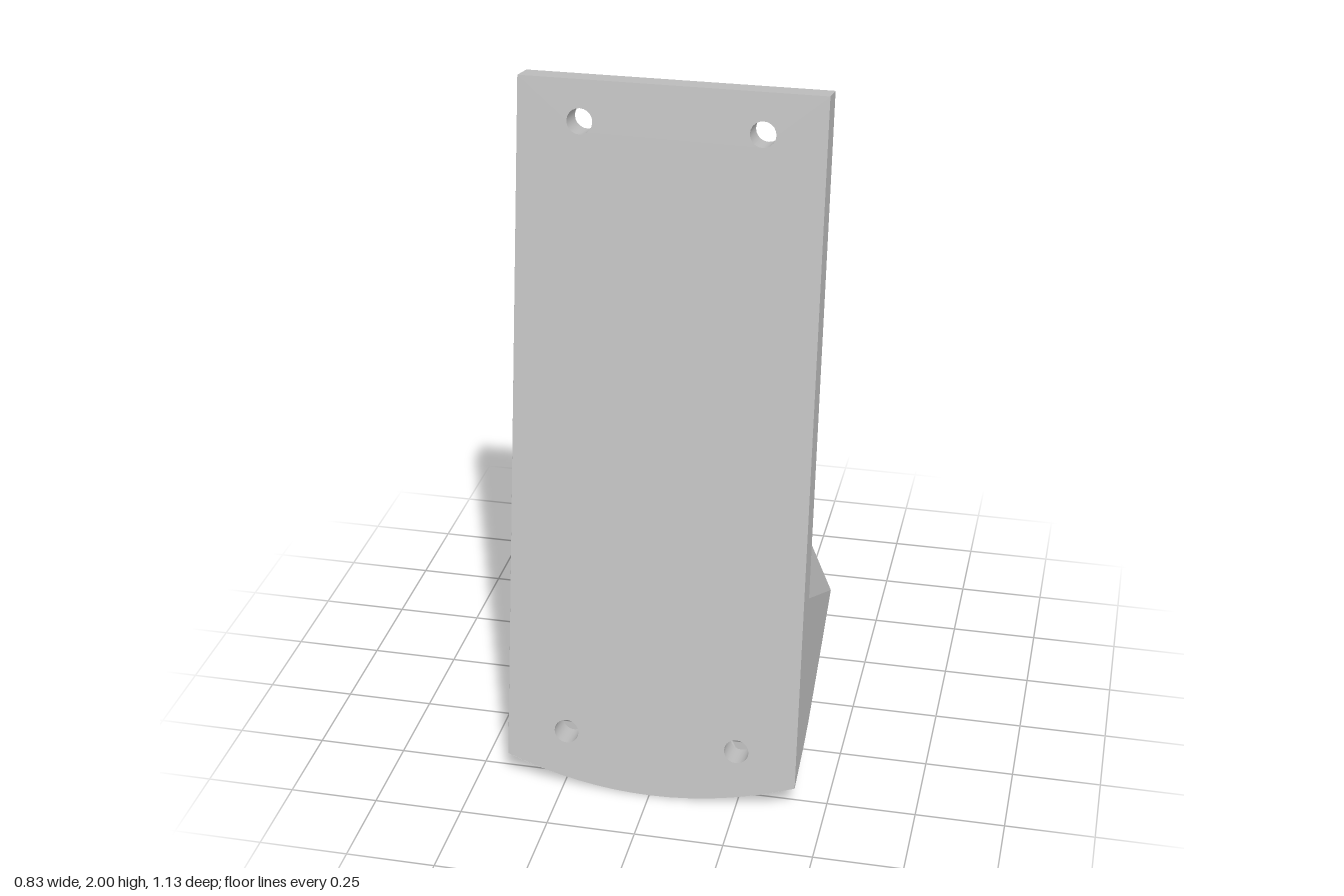
import * as THREE from 'three';

const HW = 0.415, TH = 0.09, TILT = Math.atan(0.1675);
const C = Math.cos(TILT), S = Math.sin(TILT), Z0 = 0.565, LEN = 2 / C;
const HOLE_X = 0.245, HOLE_R = 0.035, BORE_R = 0.073, LOW = 0.165 / C, HIGH = 1.89 / C;
const N = 8;

export function createModel() {
  const model = new THREE.Group();
  const grey = new THREE.MeshStandardMaterial({ color: 0xc0c0c0 });
  grey.side = THREE.DoubleSide;
  const lerp = THREE.MathUtils.lerp;

  const add = (name, geo, parent = model) => {
    const mesh = new THREE.Mesh(geo, grey);
    mesh.name = name;
    parent.add(mesh);
    return mesh;
  };

  // Flat-shaded skin through rows of points of equal length
  const loft = (rows) => {
    const p = [];
    for (let j = 0; j < rows.length - 1; j++) {
      for (let i = 0; i < rows[j].length - 1; i++) {
        const a = rows[j][i], b = rows[j][i + 1], c = rows[j + 1][i + 1], d = rows[j + 1][i];
        p.push(...a, ...b, ...c, ...a, ...c, ...d);
      }
    }
    const geo = new THREE.BufferGeometry();
    geo.setAttribute('position', new THREE.Float32BufferAttribute(p, 3));
    geo.computeVertexNormals();
    return geo;
  };

  // Height of the curved underside, and its front and back limits
  const curve = [[0.565, 0], [0.36, 0.06], [0.12, 0.195], [-0.05, 0.295]];
  const under = (x, z) => {
    let k = 0;
    while (k < 2 && z < curve[k + 1][0]) k++;
    const [a, b] = [curve[k], curve[k + 1]];
    return lerp(a[1], b[1], (a[0] - z) / (a[0] - b[0])) + 0.072 * (x / HW) ** 2;
  };
  const zFront = (x) => Z0 - 0.012 * (x / HW) ** 2;
  const zBack = (x) => -0.042 - 0.008 * (x / HW) ** 2;

  // Tilted mounting plate, in its own frame
  const plate = new THREE.Group();
  plate.name = 'mountingPlate';
  plate.position.z = Z0;
  plate.rotation.x = -TILT;
  model.add(plate);

  const face = (bottom, holes) => {
    const shape = new THREE.Shape([
      ...bottom, new THREE.Vector2(HW, LEN), new THREE.Vector2(-HW, LEN)]);
    for (const s of holes) for (const sx of [-1, 1]) {
      shape.holes.push(new THREE.Path().absarc(sx * HOLE_X, s, HOLE_R, 0, Math.PI * 2, true));
    }
    return new THREE.ShapeGeometry(shape, 10);
  };
  const arc = [];
  for (let i = -N; i <= N; i++) {
    const x = HW * i / N;
    arc.push(new THREE.Vector2(x, under(x, zFront(x)) / C));
  }
  const sideS = 0.59 / C + 0.015;
  add('plateFront', face(arc, [LOW, HIGH]), plate);
  const back = face([new THREE.Vector2(-HW, sideS), new THREE.Vector2(HW, sideS)], [HIGH]);
  add('plateBack', back.rotateY(Math.PI), plate).position.z = -TH;
  add('plateTop', loft([
    [[-HW, LEN, 0], [HW, LEN, 0]], [[-HW, LEN, -TH], [HW, LEN, -TH]]]), plate);
  for (const sx of [-1, 1]) for (const s of [LOW, HIGH]) {
    const tube = new THREE.CylinderGeometry(HOLE_R, HOLE_R, TH, 20, 1, true).rotateX(Math.PI / 2);
    add('screwHole', tube, plate).position.set(sx * HOLE_X, s, -TH / 2);
  }

  // Flat side cheeks joining plate edge and body
  const A = [0.59, 0.375], corner = [under(HW, zBack(HW)), zBack(HW)];
  for (const sx of [-1, 1]) {
    const pts = [];
    for (let i = 0; i <= N; i++) {
      const z = lerp(zFront(HW), zBack(HW), i / N);
      pts.push(new THREE.Vector2(z, under(HW, z)));
    }
    pts.push(new THREE.Vector2(A[1], A[0]),
      new THREE.Vector2(Z0 - LEN * S - TH * C, 2 - TH * S), new THREE.Vector2(Z0 - LEN * S, 2));
    const geo = new THREE.ShapeGeometry(new THREE.Shape(pts)).rotateY(-Math.PI / 2);
    if (sx > 0) geo.scale(-1, 1, 1).setIndex(Array.from(geo.index.array).reverse());
    geo.computeVertexNormals();
    add('sideCheek', geo).position.x = sx * HW;
  }

  // Ridge, flanks and rear face of the body: [half width, y, z]
  const ridge = [[0.165, 1.27, 0.262], [0.157, 1.09, 0.12], [0.14, 1.045, 0.025]];
  for (let i = 0; i < 2; i++) {
    add('ridgeTop', loft([ridge[i], ridge[i + 1]].map(([w, y, z]) => [[-w, y, z], [w, y, z]])));
  }
  for (const sx of [-1, 1]) {
    const rim = [[HW, ...A], ...ridge].map(([x, y, z]) => [x * sx, y, z]);
    const tip = [HW * sx, ...corner];
    if (sx < 0) rim.reverse();
    add('flank', loft([rim.map(() => tip), rim]));
  }
  const rearTop = [], rearLow = [];
  for (let i = -N; i <= N; i++) {
    const x = HW * i / N;
    rearTop.push([0.14 * i / N, 1.045, 0.025]);
    rearLow.push([x, under(x, zBack(x)), zBack(x)]);
  }
  add('rearFace', loft([rearTop, rearLow]));

  // Underside halves, each opened by a screw recess normal to the plate
  const square = [];
  for (let k = 0; k < 4; k++) for (let i = 0; i < N; i++) {
    const t = i / N;
    square.push([[t, 0], [1, t], [1 - t, 1], [0, 1 - t]][k]);
  }
  square.push(square[0]);
  const at = (a, r, t) => {
    const s = LOW + r * Math.sin(a);
    return [HOLE_X + r * Math.cos(a), s * C - t * S, Z0 - s * S - t * C];
  };
  const border = square.map(([u, w]) => {
    const x = HW * u, z = lerp(zBack(x), zFront(x), w);
    return [x, under(x, z), z];
  });
  const angles = border.map(([x, , z]) => Math.atan2((0.28 - z) / 0.3, (x - HOLE_X) / 0.2));
  const mouth = angles.map((a) => {
    let lo = TH, hi = 0.7;
    for (let i = 0; i < 30; i++) {
      const mid = (lo + hi) / 2, p = at(a, BORE_R, mid);
      if (p[1] > under(p[0], p[2])) lo = mid; else hi = mid;
    }
    return at(a, BORE_R, lo);
  });
  const rings = [];
  for (let j = 0; j <= 5; j++) {
    rings.push(mouth.map((m, i) => {
      const x = lerp(m[0], border[i][0], j / 5), z = lerp(m[2], border[i][2], j / 5);
      return [x, under(x, z), z];
    }));
  }
  const floorIn = angles.map((a) => at(a, HOLE_R, TH));
  const floorOut = angles.map((a) => at(a, BORE_R, TH));
  for (const sx of [1, -1]) {
    const flip = (rows) => rows.map((row) => {
      const r = row.map(([x, y, z]) => [x * sx, y, z]);
      return sx < 0 ? r.reverse() : r;
    });
    add('underside', loft(flip(rings)));
    add('screwRecess', loft(flip([floorIn, floorOut, mouth])));
  }

  // Rear lug with a pivot hole, drawn in (z, y)
  const outline = [[0.022, 1], [-0.4, 0.925], [-0.48, 0.893], [-0.535, 0.83], [-0.563, 0.765],
    [-0.563, 0.7], [-0.54, 0.63], [-0.48, 0.56], [-0.4, 0.5], [-0.045, 0.293], [0, 0.34]];
  const lugShape = new THREE.Shape(outline.map(([z, y]) => new THREE.Vector2(z, y)));
  lugShape.holes.push(new THREE.Path().absarc(-0.365, 0.73, 0.094, 0, Math.PI * 2, true));
  const lug = new THREE.ExtrudeGeometry(lugShape, { depth: 0.18, bevelEnabled: false, curveSegments: 14 });
  add('pivotLug', lug.rotateY(-Math.PI / 2)).position.x = 0.09;

  return model;
}
